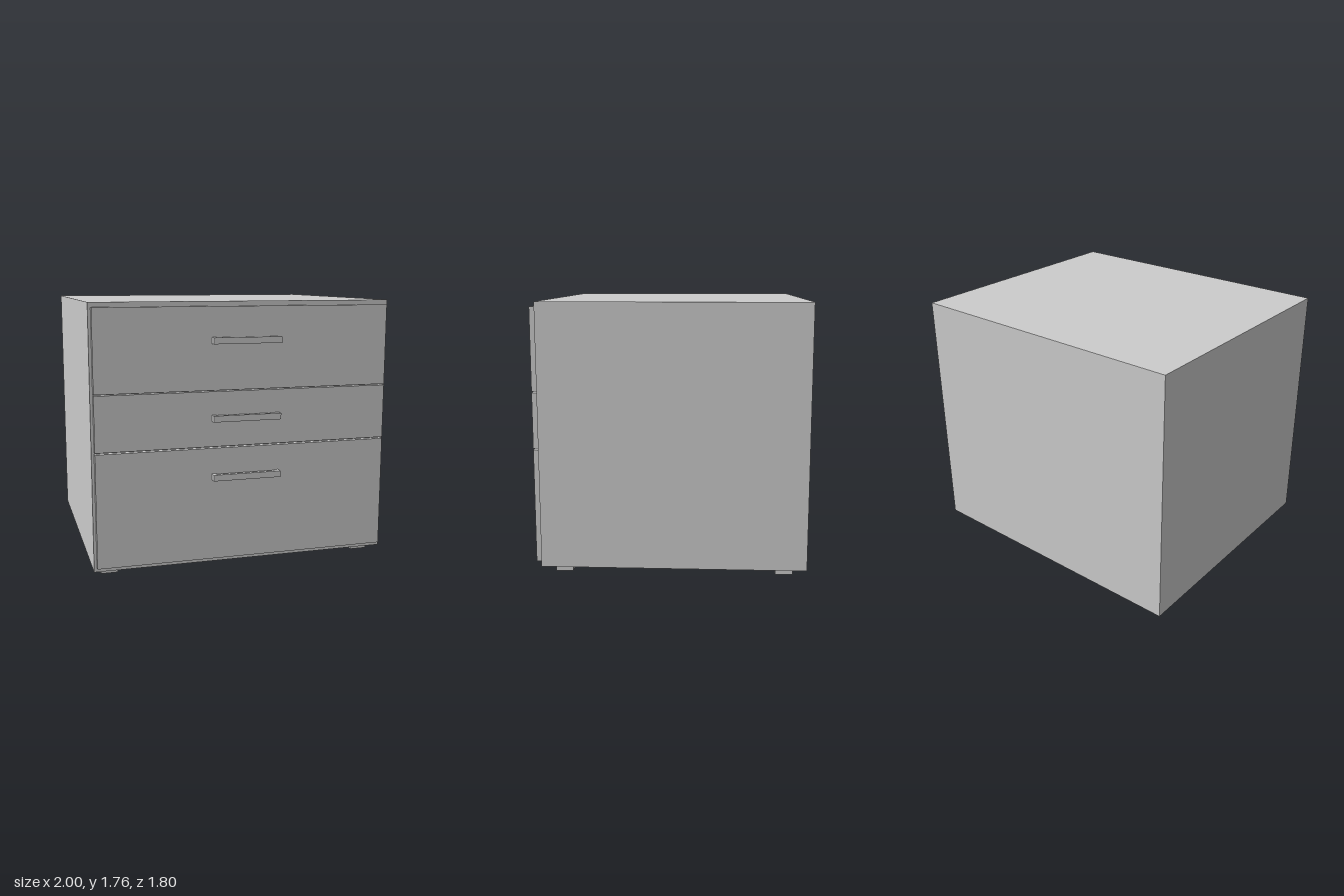
import * as THREE from 'three';

const material = new THREE.MeshStandardMaterial({ color: 0xcccccc });

// Box given by its extents along each axis
function box(name, [x0, x1], [y0, y1], [z0, z1]) {
  const mesh = new THREE.Mesh(new THREE.BoxGeometry(x1 - x0, y1 - y0, z1 - z0), material);
  mesh.position.set((x0 + x1) / 2, (y0 + y1) / 2, (z0 + z1) / 2);
  mesh.name = name;
  return mesh;
}

// U-shaped pull: extruded upward from its plan outline
function handle(y, height) {
  const plan = [
    [-0.228, 0.855], [-0.228, 0.9], [0.228, 0.9], [0.228, 0.855],
    [0.2, 0.855], [0.2, 0.872], [-0.2, 0.872], [-0.2, 0.855],
  ];
  const shape = new THREE.Shape(plan.map(([x, z]) => new THREE.Vector2(x, -z)));
  const geometry = new THREE.ExtrudeGeometry(shape, { depth: height, bevelEnabled: false });
  geometry.rotateX(-Math.PI / 2);
  const mesh = new THREE.Mesh(geometry, material);
  mesh.position.y = y - height / 2;
  mesh.name = 'handle';
  return mesh;
}

export function createModel() {
  const model = new THREE.Group();
  model.name = 'drawerCabinet';

  // Cabinet body
  model.add(box('cabinetBody', [-1, 1], [0.047, 1.76], [-0.9, 0.82]));

  // Drawers: bottom, top and handle height
  const drawers = [
    ['bottomDrawer', 0.077, 0.821, 0.632],
    ['middleDrawer', 0.831, 1.19, 1.018],
    ['topDrawer', 1.197, 1.729, 1.515],
  ];
  for (const [name, y0, y1, handleY] of drawers) {
    const drawer = new THREE.Group();
    drawer.name = name;
    drawer.add(box('drawerFront', [-0.982, 0.982], [y0, y1], [0.82, 0.855]));
    drawer.add(handle(handleY, 0.041));
    model.add(drawer);
  }

  // Four feet
  for (const x of [-0.89, 0.89]) {
    for (const z of [-0.757, 0.678]) {
      model.add(box('foot', [x - 0.056, x + 0.056], [0, 0.047], [z - 0.056, z + 0.056]));
    }
  }
  return model;
}
